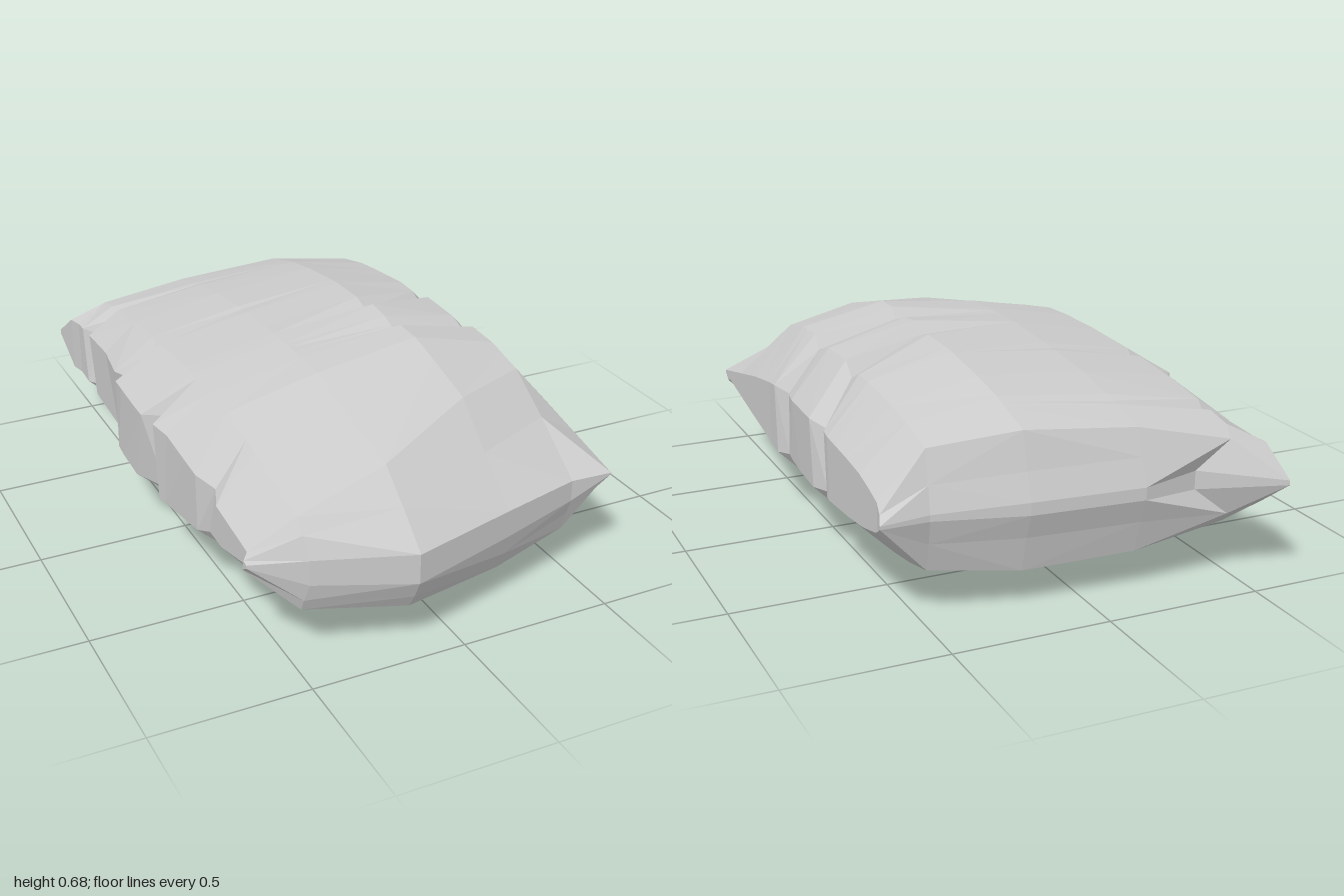
import * as THREE from 'three';

// Column positions and the fullest heights of the bag, right (-x) to left (+x)
const X = [-0.62, -0.47, -0.16, 0.2, 0.48, 0.625];
const TOP = [0.465, 0.58, 0.64, 0.678, 0.615, 0.46];
const BOTTOM = [0.21, 0.1, 0.035, 0.03, 0.09, 0.23];
const SEAM = 0.34;

// Piecewise linear lookup over [key, value] pairs with rising keys
function lookup(pairs, t) {
  if (t <= pairs[0][0]) return pairs[0][1];
  for (let i = 1; i < pairs.length; i++) {
    const [k0, v0] = pairs[i - 1], [k1, v1] = pairs[i];
    if (t <= k1) return v0 + ((v1 - v0) * (t - k0)) / (k1 - k0);
  }
  return pairs[pairs.length - 1][1];
}

// How full the bag is along its length
const fullTop = [[-0.86, 0.62], [-0.6, 0.83], [-0.3, 0.94], [0, 1], [0.3, 1], [0.6, 0.77], [0.78, 0.67], [0.85, 0.5]];
const fullBottom = [[-0.86, 0.66], [-0.6, 0.88], [-0.3, 1], [0.2, 1], [0.6, 0.85], [0.94, 0.62]];
const fullLeft = [[-0.82, 0.05], [-0.75, 0.45], [-0.6, 0.75], [-0.25, 0.95], [0.2, 1], [0.42, 0.7], [0.8, 0.12]];
const fullRight = [[-0.82, 0.75], [-0.6, 0.85], [-0.25, 1], [0.2, 1], [0.42, 0.75], [0.8, 0.15]];
const rightEdge = [[-0.8, -0.58], [-0.4, -0.585], [-0.25, -0.635], [0.02, -0.645], [0.2, -0.62], [0.8, -0.6]];

// Weights of a dent starting from either side, and of the underside fold
const DENT_RIGHT = [1, 1, 0.1, 0, 0, 0];
const DENT_LEFT = [0, 0, 0, 0.8, 1, 1];
const FOLD = [0, 0, 0.2, 1, 0.5, 0];

// One closed loop: top from right to left, then underside back again
function section(zTop, zBottom, dentRight = 0, dentLeft = 0, fold = 0, nick = 0) {
  const upper = [], lower = [];
  X.forEach((x0, i) => {
    const side = i === 0 || i === 5;
    const zt = zTop[i], zb = zBottom[i];
    const sideFull = i === 0 ? fullRight : fullLeft;
    const ft = lookup(side ? sideFull : fullTop, zt);
    const fb = lookup(side ? sideFull : fullBottom, zb);
    const dent = dentRight * DENT_RIGHT[i] + dentLeft * DENT_LEFT[i];
    let xt = x0, xb = x0;
    if (i === 0) {
      xt = lookup(rightEdge, zt) + dentRight + nick;
      xb = lookup(rightEdge, zb) + (dentRight + nick) * 0.8;
    }
    if (i === 5) {
      xt -= dentLeft * 0.7;
      xb -= dentLeft * 0.5;
    }
    upper.push([xt, SEAM + (TOP[i] - SEAM) * ft - dent * (side ? 0.4 : 0.8), zt]);
    lower.push([xb, SEAM + (BOTTOM[i] - SEAM) * fb + fold * FOLD[i], zb]);
  });
  return upper.concat(lower.reverse());
}

// End row with its own outline
function endRow(xs, zTop, yTop, yBottom, zBottom = zTop) {
  const upper = xs.map((x, i) => [x, yTop[i], zTop[i]]);
  const lower = xs.map((x, i) => [x, yBottom[i], zBottom[i]]);
  return upper.concat(lower.reverse());
}

// Spread right, middle and left z values over the columns
function spread(r, m, l) {
  const keys = [[-0.62, r], [0.02, m], [0.625, l]];
  return X.map((x) => lookup(keys, x));
}

// Skin a row of loops and close both ends, splitting each quad along its outer diagonal
function loft(rows) {
  const n = rows[0].length, half = n / 2, index = [], points = rows.flat();
  const reach = (a, b) => Math.hypot(...[0, 1, 2].map((k) =>
    points[a][k] + points[b][k] - (k === 1 ? 2 * SEAM : 0)));
  const quad = (a, b, c, d) => {
    if (reach(a, c) >= reach(b, d)) index.push(a, b, c, a, c, d);
    else index.push(a, b, d, b, c, d);
  };
  for (let r = 0; r < rows.length - 1; r++) {
    for (let i = 0; i < n; i++) {
      const j = (i + 1) % n;
      quad(r * n + i, r * n + j, (r + 1) * n + j, (r + 1) * n + i);
    }
  }
  const last = (rows.length - 1) * n;
  for (let i = 0; i < half - 1; i++) {
    const b = n - 1 - i;
    quad(i, b, b - 1, i + 1);
    quad(last + i, last + i + 1, last + b - 1, last + b);
  }
  const geometry = new THREE.BufferGeometry();
  geometry.setAttribute('position', new THREE.Float32BufferAttribute(points.flat(), 3));
  geometry.setIndex(index);
  const faceted = geometry.toNonIndexed();
  faceted.computeVertexNormals();
  return faceted;
}

export function createModel() {
  // Body rows: z of top at right, middle, left; z of underside;
  // dents right, left; underside fold; nick in the right wall
  const body = [
    [0.57, 0.45, 0.33, 0.6, 0, 0, 0, 0],
    [0.5, 0.41, 0.31, 0.46, 0, 0, 0.005, 0.03],
    [0.42, 0.37, 0.29, 0.42, 0, 0, -0.02, 0],
    [0.34, 0.31, 0.25, 0.25, 0, 0, -0.034, 0],
    [0.2, 0.2, 0.18, 0.17, 0, -0.005, 0.02, 0],
    [0.11, 0.17, 0.14, 0.13, 0, 0.05, 0, 0],
    [0.07, 0.135, 0.11, 0.08, 0, 0.035, 0, 0.06],
    [0.03, 0.105, 0.03, -0.05, 0, 0.01, 0, 0],
    [-0.04, 0.075, -0.18, -0.2, 0, -0.005, 0, 0],
    [-0.11, 0.03, -0.23, -0.26, 0, 0.05, 0, 0],
    [-0.18, -0.05, -0.29, -0.31, 0, 0.01, 0, 0],
    [-0.24, -0.24, -0.34, -0.34, 0, 0, 0, 0],
    [-0.285, -0.285, -0.38, -0.37, 0.055, 0, 0, 0],
    [-0.32, -0.31, -0.42, -0.4, 0, 0, 0, 0],
    [-0.5, -0.5, -0.51, -0.52, 0, 0, 0, 0],
    [-0.69, -0.65, -0.62, -0.64, 0, 0, 0, 0],
    [-0.73, -0.68, -0.66, -0.69, 0.05, 0, 0, 0],
    [-0.77, -0.7, -0.7, -0.74, 0, 0, 0, 0],
  ].map(([r, m, l, zb, ...dents]) => section(spread(r, m, l), spread(zb, zb, zb), ...dents));

  const shoulder = [-0.82, -0.84, -0.85, -0.82, -0.77, -0.76];
  const rows = [
    // Front seam and the bulging slope behind it
    endRow([-0.62, -0.46, -0.16, 0.2, 0.48, 0.625], [0.82, 0.9, 1, 0.89, 0.81, 0.81],
      [0.345, 0.362, 0.358, 0.35, 0.345, 0.34], [0.335, 0.28, 0.26, 0.26, 0.275, 0.335]),
    endRow(X, [0.8, 0.87, 0.89, 0.74, 0.62, 0.6], [0.35, 0.43, 0.455, 0.475, 0.48, 0.385],
      [0.315, 0.22, 0.2, 0.19, 0.22, 0.31], [0.79, 0.88, 0.97, 0.87, 0.79, 0.78]),
    section([0.78, 0.83, 0.78, 0.6, 0.46, 0.41], [0.76, 0.86, 0.94, 0.84, 0.77, 0.75]),
    ...body,
    // Back shoulder, the fat base of the pulled-out corner and the seam
    section(shoulder, shoulder),
    endRow([-0.59, -0.46, -0.16, 0.2, 0.485, 0.632], [-0.88, -0.885, -0.88, -0.85, -0.8, -0.8],
      [0.43, 0.46, 0.445, 0.445, 0.43, 0.365], [0.24, 0.22, 0.24, 0.24, 0.25, 0.32]),
    endRow([-0.6, -0.35, -0.16, 0.2, 0.49, 0.645], [-1, -0.87, -0.91, -0.88, -0.825, -0.835],
      [0.345, 0.37, 0.36, 0.36, 0.35, 0.345], [0.33, 0.31, 0.32, 0.32, 0.33, 0.335]),
  ];

  const material = new THREE.MeshStandardMaterial({
    color: 0xcccccc, flatShading: true, side: THREE.DoubleSide,
  });
  const bag = new THREE.Mesh(loft(rows), material);
  bag.name = 'filledBag';
  const group = new THREE.Group();
  group.name = 'sandbag';
  group.add(bag);
  return group;
}
